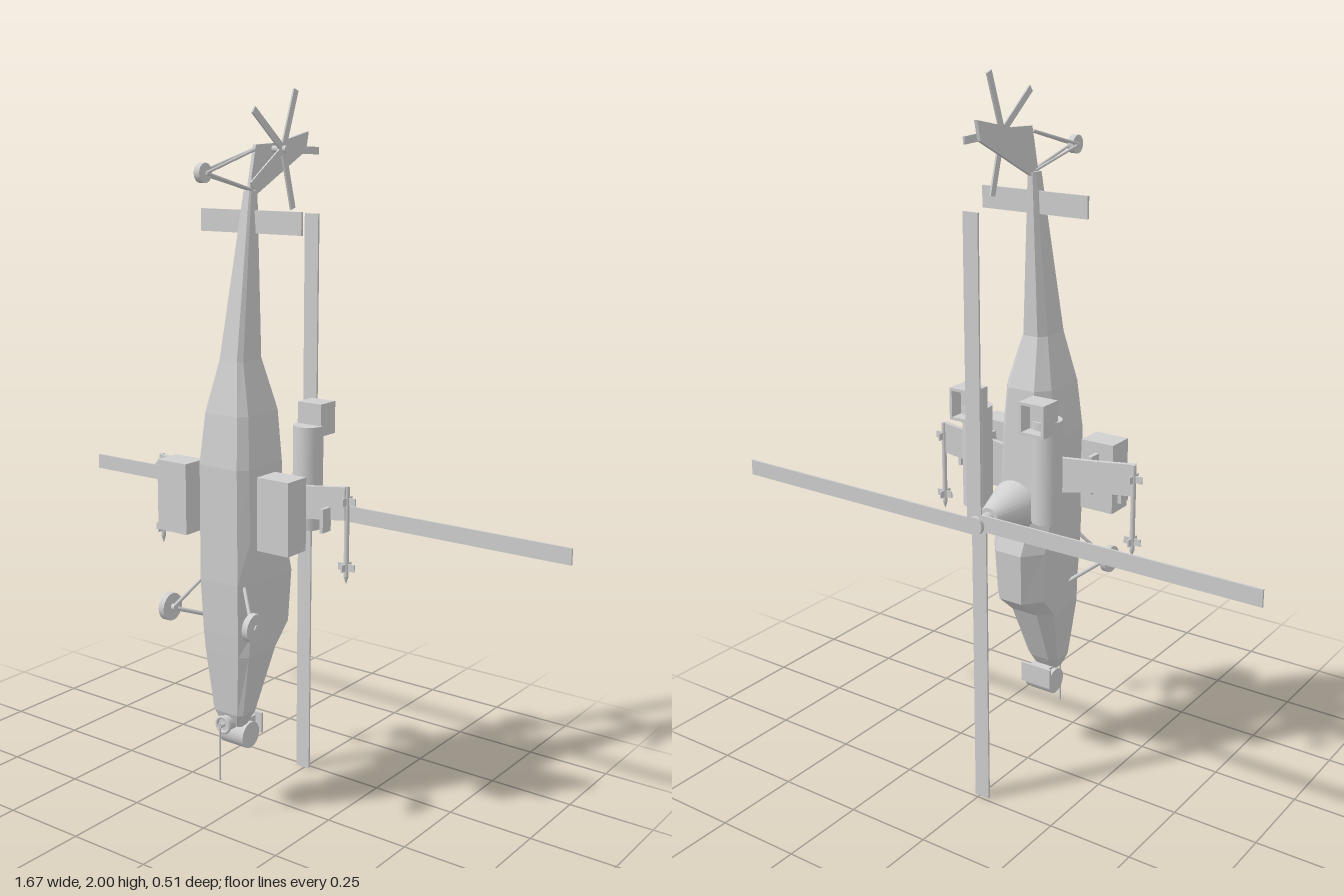
import * as THREE from 'three';

const grey = new THREE.MeshStandardMaterial({ color: 0xd0d0d0 });
grey.name = 'lightGrey';

export function createModel() {
  const root = new THREE.Group();
  root.name = 'helicopter';

  const add = (name, geo, pos = [0, 0, 0], parent = root) => {
    const mesh = new THREE.Mesh(geo, grey);
    mesh.name = name;
    mesh.position.set(...pos);
    parent.add(mesh);
    return mesh;
  };
  // box given by its x, y and z ranges
  const box = (name, [x0, x1], [y0, y1], [z0, z1], parent = root) =>
    add(name, new THREE.BoxGeometry(Math.abs(x1 - x0), y1 - y0, z1 - z0),
      [(x0 + x1) / 2, (y0 + y1) / 2, (z0 + z1) / 2], parent);
  // round bar between two points
  const bar = (name, a, b, r0, r1 = r0, sides = 16) => {
    const p = new THREE.Vector3(...a), q = new THREE.Vector3(...b);
    const d = q.clone().sub(p);
    const mesh = add(name, new THREE.CylinderGeometry(r1, r0, d.length(), sides),
      p.clone().add(q).multiplyScalar(0.5).toArray());
    mesh.quaternion.setFromUnitVectors(new THREE.Vector3(0, 1, 0), d.normalize());
    return mesh;
  };

  // fuselage: [y, belly z, back z, half width, belly half width, back half width]
  const sections = [
    [0.27, 0.13, 0.09, 0.035, 0.025, 0.02],
    [0.31, 0.145, 0.065, 0.052, 0.038, 0.03],
    [0.49, 0.163, -0.015, 0.077, 0.056, 0.042],
    [0.55, 0.168, -0.085, 0.08, 0.06, 0.037],
    [0.70, 0.175, -0.095, 0.086, 0.064, 0.042],
    [0.82, 0.175, -0.05, 0.087, 0.064, 0.05],
    [1.02, 0.175, -0.038, 0.085, 0.063, 0.05],
    [1.16, 0.16, -0.03, 0.073, 0.053, 0.042],
    [1.30, 0.13, 0.015, 0.04, 0.029, 0.022],
    [1.74, 0.05, 0.012, 0.013, 0.009, 0.007],
  ];
  const rings = sections.map(([y, zb, zt, w, b, t]) => {
    const h = zb - zt;
    const lo = zb - 0.12 * h, hi = zt + 0.2 * h;
    return [[b, zb], [w, lo], [w, hi], [t, zt], [-t, zt], [-w, hi], [-w, lo], [-b, zb]]
      .map(([x, z]) => [x, y, z]);
  });
  const verts = [];
  const tri = (...pts) => pts.forEach((p) => verts.push(...p));
  for (let i = 0; i < rings.length - 1; i++) {
    for (let j = 0; j < 8; j++) {
      const k = (j + 1) % 8;
      const a = rings[i][j], b = rings[i][k], c = rings[i + 1][k], d = rings[i + 1][j];
      tri(a, b, c);
      tri(a, c, d);
    }
  }
  const last = rings[rings.length - 1];
  for (let j = 1; j < 7; j++) {
    tri(rings[0][0], rings[0][j + 1], rings[0][j]);
    tri(last[0], last[j], last[j + 1]);
  }
  const hull = new THREE.BufferGeometry();
  hull.setAttribute('position', new THREE.Float32BufferAttribute(verts, 3));
  hull.computeVertexNormals();
  add('fuselage', hull);

  // tail fin, drawn in (-z, y) and turned into the side plane
  const finShape = new THREE.Shape([
    [-0.045, 1.73], [-0.012, 1.73], [0.21, 1.84], [0.222, 1.892], [0.08, 1.862], [-0.015, 1.858],
  ].map((p) => new THREE.Vector2(...p)));
  const finGeo = new THREE.ExtrudeGeometry(finShape, { depth: 0.01, bevelEnabled: false });
  finGeo.translate(0, 0, -0.005).rotateY(Math.PI / 2);
  add('tailFin', finGeo);
  box('stabilizer', [-0.167, 0.167], [1.63, 1.69], [0.028, 0.036]);

  // tail rotor
  const tailRotor = new THREE.Group();
  tailRotor.name = 'tailRotor';
  tailRotor.position.set(0.037, 1.846, -0.06);
  root.add(tailRotor);
  for (let i = 0; i < 5; i++) {
    const geo = new THREE.BoxGeometry(0.005, 0.02, 0.163);
    geo.translate(0, 0, -0.0815).rotateX(THREE.MathUtils.degToRad(-2 + 72 * i));
    add('tailRotorBlade', geo, [0, 0, 0], tailRotor);
  }
  bar('tailRotorShaft', [0, 1.846, -0.06], [0.05, 1.846, -0.06], 0.009);

  // main rotor
  bar('mastFairing', [0, 0.836, -0.065], [0, 0.836, -0.185], 0.072, 0.03, 24);
  bar('mast', [0, 0.836, -0.18], [0, 0.836, -0.235], 0.019);
  bar('rotorHub', [0, 0.836, -0.224], [0, 0.836, -0.253], 0.026);
  const rotor = new THREE.Group();
  rotor.name = 'mainRotor';
  rotor.position.set(0, 0.836, -0.237);
  root.add(rotor);
  for (let i = 0; i < 4; i++) {
    const geo = new THREE.BoxGeometry(0.82, 0.046, 0.006);
    geo.translate(0.424, -0.008, 0).rotateZ(i * Math.PI / 2);
    add('rotorBlade', geo, [0, 0, 0], rotor);
  }

  // paired parts
  for (const s of [1, -1]) {
    // engine with open exhaust box
    bar('engine', [s * 0.115, 0.82, -0.076], [s * 0.115, 1.11, -0.076], 0.042, 0.042, 24);
    const X0 = 0.075, X1 = 0.153, Y0 = 1.08, Y1 = 1.17, t = 0.008;
    const Z = [-0.15, -0.082];
    box('exhaustWall', [s * X0, s * (X0 + t)], [Y0, Y1], Z);
    box('exhaustWall', [s * (X1 - t), s * X1], [Y0, Y1], Z);
    box('exhaustWall', [s * (X0 + t), s * (X1 - t)], [Y0, Y0 + t], Z);
    box('exhaustWall', [s * (X0 + t), s * (X1 - t)], [Y1 - t, Y1], Z);
    box('exhaustFloor', [s * (X0 + t), s * (X1 - t)], [Y0 + t, Y1 - t], [-0.11, -0.082]);

    // stub wing
    const wing = new THREE.Shape([
      [0.06, 0.855], [0.2, 0.885], [0.32, 0.9], [0.32, 0.99], [0.2, 0.975], [0.06, 0.96],
    ].map(([x, y]) => new THREE.Vector2(s * x, y)));
    add('stubWing', new THREE.ExtrudeGeometry(wing, { depth: 0.014, bevelEnabled: false }),
      [0, 0, 0.033]);
    box('podPylon', [s * 0.168, s * 0.18], [0.87, 0.98], [0.045, 0.09]);
    box('storePod', [s * 0.122, s * 0.224], [0.81, 1.01], [0.085, 0.165]);
    box('outerPylon', [s * 0.266, s * 0.276], [0.865, 0.93], [0.045, 0.082]);

    // wing tip rod with crossed fins
    bar('tipRod', [s * 0.32, 0.745, 0.035], [s * 0.32, 0.99, 0.035], 0.007);
    bar('tipRodNose', [s * 0.32, 0.745, 0.035], [s * 0.32, 0.725, 0.035], 0.007, 0.001);
    for (const y of [0.95, 0.77]) {
      box('tipFin', [s * 0.295, s * 0.346], [y - 0.01, y + 0.01], [0.033, 0.037]);
      box('tipFin', [s * 0.318, s * 0.322], [y - 0.01, y + 0.01], [0.012, 0.058]);
    }

    // main landing gear
    bar('mainWheel', [s * 0.136, 0.612, 0.21], [s * 0.154, 0.612, 0.21], 0.039, 0.039, 24);
    bar('mainAxle', [s * 0.125, 0.612, 0.21], [s * 0.158, 0.612, 0.21], 0.009);
    bar('lowerStrut', [s * 0.133, 0.607, 0.203], [s * 0.07, 0.56, 0.08], 0.006);
    bar('upperStrut', [s * 0.133, 0.615, 0.203], [s * 0.065, 0.705, 0.15], 0.005);

    // tail wheel fork
    bar('tailStrut', [s * 0.012, 1.79, 0.228], [s * 0.004, 1.845, 0.02], 0.004);
    bar('tailStrut', [s * 0.012, 1.79, 0.228], [s * 0.004, 1.742, 0.03], 0.004);
  }
  bar('tailWheel', [-0.009, 1.79, 0.228], [0.009, 1.79, 0.228], 0.025, 0.025, 24);

  // nose sensors and gun
  bar('noseDrum', [-0.042, 0.235, 0.088], [0.042, 0.235, 0.088], 0.038, 0.038, 24);
  box('noseBracket', [-0.03, 0.03], [0.25, 0.28], [0.05, 0.11]);
  box('nosePlate', [-0.05, 0.05], [0.23, 0.29], [0.042, 0.05]);
  add('gunRing', new THREE.TorusGeometry(0.022, 0.005, 10, 24), [0, 0.28, 0.16]);
  bar('gunTurret', [0, 0.28, 0.12], [0, 0.28, 0.158], 0.022, 0.022, 24);
  bar('gunMount', [0, 0.28, 0.15], [0, 0.28, 0.177], 0.006);
  bar('gunBarrel', [0, 0.12, 0.175], [0, 0.29, 0.175], 0.003);
  return root;
}
